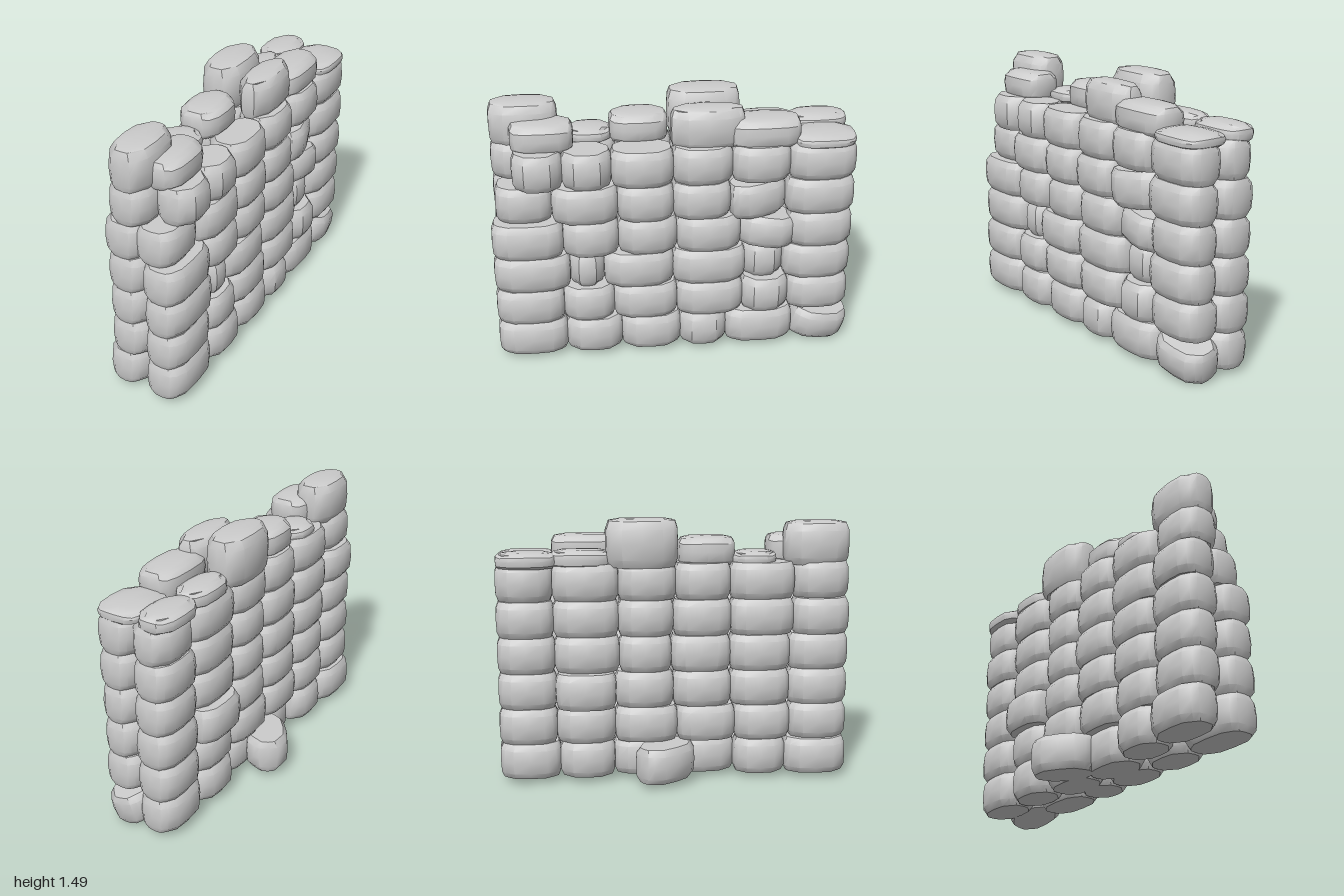
import * as THREE from 'three';
import { toCreasedNormals } from 'three/addons/utils/BufferGeometryUtils.js';

const material = new THREE.MeshStandardMaterial({ color: 0xcccccc });

// Small seeded generator for slight differences between stones
let seed = 7;
const jitter = (a) => {
  seed = (seed * 16807) % 2147483647;
  return (seed / 2147483647 - 0.5) * 2 * a;
};

// Hewn block: flat top and bottom, bulging sides, drawn-in corners
function stoneGeometry(w, h, d, dome) {
  const geo = new THREE.BoxGeometry(2, 2, 2, 4, 4, 4);
  const p = geo.attributes.position;
  const spread = (t) => (Math.abs(t) === 0.5 ? t * 1.3 : t);
  const chamfer = 0.036 + jitter(0.008);
  for (let i = 0; i < p.count; i++) {
    const u = spread(p.getX(i)), v = spread(p.getY(i)), k = spread(p.getZ(i));
    const u4 = u ** 4, v4 = v ** 4, k4 = k ** 4;
    p.setXYZ(i,
      u * (w / 2 - chamfer * k4 - 0.028 * v4),
      v * h / 2 - (v > 0 ? dome * v * (u4 + k4) / 2 : 0),
      k * (d / 2 - 0.028 * u4 - 0.016 * v4));
  }
  return toCreasedNormals(geo, 0.62);
}

function createStone(name, [x, y, z], [w, h, d], rotation = [0, 0, 0], dome = 0) {
  const mesh = new THREE.Mesh(stoneGeometry(w, h, d, dome), material);
  mesh.name = name;
  mesh.position.set(x, y, z);
  mesh.rotation.set(...rotation);
  return mesh;
}

// Joints along the outer face of each course, from the front backwards
const rightJoints = [
  [1, 0.62, 0.31, -0.02, -0.28, -0.66],
  [1, 0.63, 0.35, 0, -0.37, -0.63, -0.97],
  [1, 0.59, 0.4, 0.02, -0.38, -0.6, -0.97],
  [1, 0.62, 0.32, 0, -0.35, -0.62, -0.97],
  [0.97, 0.67, 0.32, 0.02, -0.29, -0.6, -0.97],
  [0.87, 0.61, 0.35, 0.02, -0.3, -0.61, -0.97],
];

// The inner face is bonded more evenly
const leftJoints = () => Array.from({ length: 7 }, (_, i) =>
  0.985 - i * 0.326 + (i % 6 ? jitter(0.02) : 0));

// Stones set out of line, by face, course and place; null is a gap
const shifts = {
  right21: -0.035, right24: -0.05, right34: null, right40: -0.05, right44: null,
  left00: -0.025, left02: 0.05, left03: 0.04, left24: -0.05, left40: -0.01, left50: 0.02,
};

// Stones that have slipped: position, size and rotation
const looseStones = {
  slumpedCornerStone: [[0.19, 0.135, -0.82], [0.25, 0.18, 0.33], [-0.17, 0.12, -0.16]],
  turnedFootStone: [[-0.14, 0.15, -0.05], [0.25, 0.2, 0.35], [0, 0.64, 0]],
  saggingStone: [[0.19, 0.745, -0.5], [0.25, 0.18, 0.33], [-0.12, -0.15, 0]],
  slippingStone: [[0.2, 0.945, -0.44], [0.22, 0.2, 0.32], [0.08, 0.25, -0.05]],
};

// Broken top course: left x, right x, top, front z, back z
const crestStones = [
  [-0.11, 0.13, 1.48, 0.99, 0.62],
  [0, 0.25, 1.4, 0.88, 0.54],
  [-0.11, 0.12, 1.32, 0.58, 0.33],
  [-0.1, 0.15, 1.4, 0.35, 0.03],
  [-0.155, 0.09, 1.505, 0.03, -0.37],
  [0.07, 0.275, 1.465, 0.03, -0.37],
  [-0.13, 0.07, 1.34, -0.34, -0.67],
  [0.05, 0.295, 1.4, -0.28, -0.67],
  [-0.15, 0.07, 1.33, -0.64, -0.97],
  [0.04, 0.32, 1.31, -0.63, -0.97],
];

export function createModel() {
  const wall = new THREE.Group();
  wall.name = 'ruinedStoneWall';
  const courseHeight = 0.2017;

  // Two parallel faces of stones in each course
  rightJoints.forEach((right, row) => {
    const course = new THREE.Group();
    course.name = `course${row + 1}`;
    const y = 0.05 + (row + 0.5) * courseHeight;
    for (const [side, joints, x] of [['right', right, 0.2], ['left', leftJoints(), -0.015]]) {
      for (let i = 0; i + 1 < joints.length; i++) {
        const shift = shifts[`${side}${row}${i}`];
        if (shift === null) continue;
        course.add(createStone(`${side}Stone`,
          [x + (shift ?? 0) + jitter(0.004), y, (joints[i] + joints[i + 1]) / 2],
          [0.25, courseHeight, joints[i] - joints[i + 1] + 0.012]));
      }
    }
    wall.add(course);
  });

  // Stones that have slipped out of line
  for (const [name, spec] of Object.entries(looseStones)) wall.add(createStone(name, ...spec));

  // Uneven crest
  const crest = new THREE.Group();
  crest.name = 'brokenCrest';
  const base = 1.24;
  for (const [x0, x1, top, z0, z1] of crestStones) {
    crest.add(createStone('crestStone',
      [(x0 + x1) / 2, (base + top) / 2, (z0 + z1) / 2],
      [x1 - x0, top - base, z0 - z1], [0, 0, 0], 0.02));
  }
  wall.add(crest);
  return wall;
}
